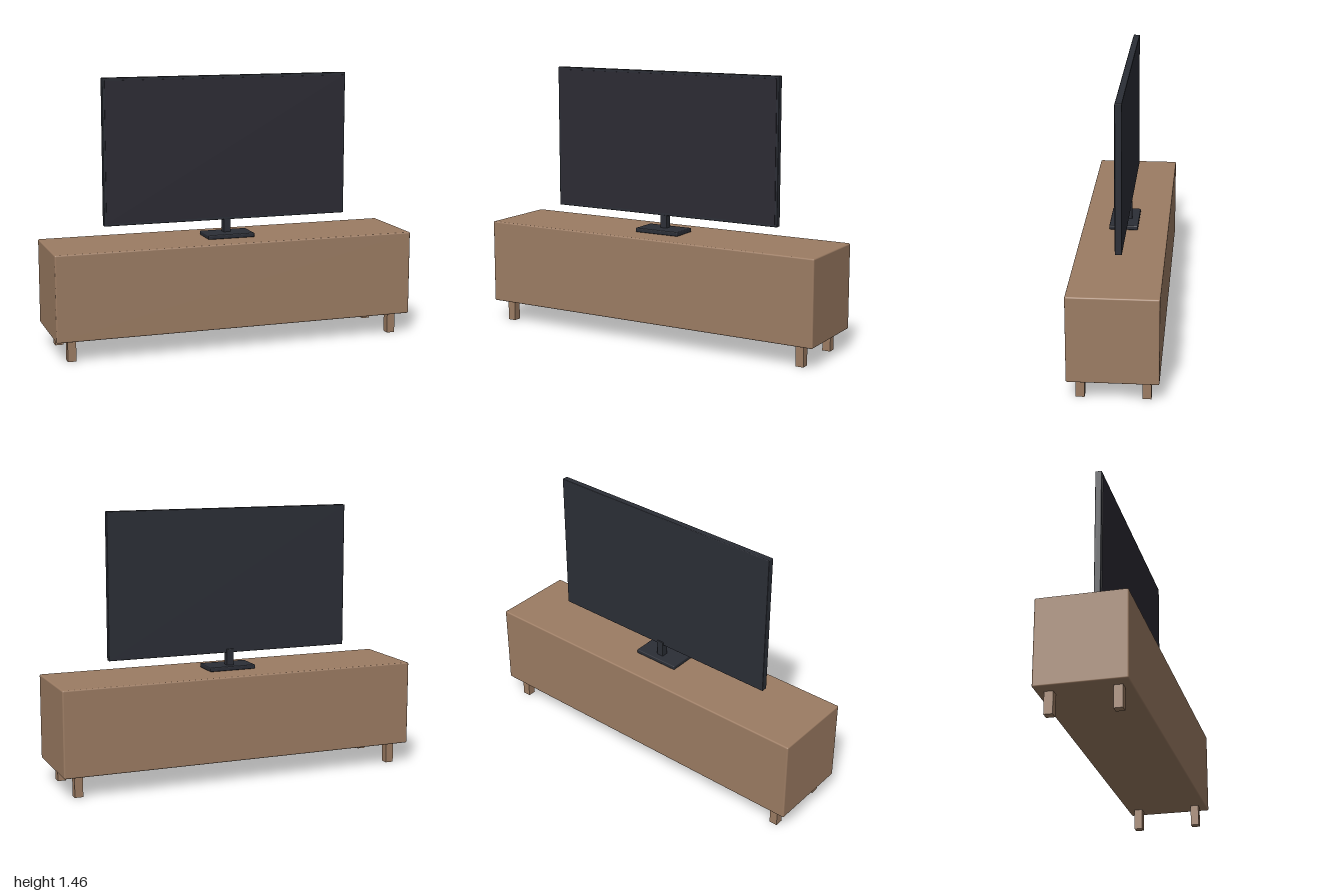
import * as THREE from 'three';
import { RoundedBoxGeometry } from 'three/addons/geometries/RoundedBoxGeometry.js';

const material = (name, color) => {
  const m = new THREE.MeshStandardMaterial({ color });
  m.name = name;
  return m;
};

export function createModel() {
  const group = new THREE.Group();
  group.name = 'televisionOnCabinet';
  const wood = material('wood', 0x9c7c63);
  const casing = material('casing', 0x2b2e36);
  const glass = material('screenGlass', 0x2b2a33);

  // Box given by its lower and upper corners, with softened edges when radius > 0
  const box = (name, mat, [x0, y0, z0], [x1, y1, z1], radius = 0) => {
    const size = [x1 - x0, y1 - y0, z1 - z0];
    const geometry = radius
      ? new RoundedBoxGeometry(...size, 3, radius)
      : new THREE.BoxGeometry(...size);
    const mesh = new THREE.Mesh(geometry, mat);
    mesh.name = name;
    mesh.position.set((x0 + x1) / 2, (y0 + y1) / 2, (z0 + z1) / 2);
    group.add(mesh);
  };

  // Cabinet and its four square legs
  box('cabinet', wood, [-1, 0.115, -0.232], [1, 0.578, 0.232], 0.008);
  for (const sx of [-1, 1]) {
    for (const sz of [-1, 1]) {
      const x = sx * 0.912, z = sz * 0.168, r = 0.0225;
      box('leg', wood, [x - r, 0, z - r], [x + r, 0.118, z + r]);
    }
  }

  // Television stand
  box('standBase', casing, [-0.132, 0.578, -0.068], [0.132, 0.601, 0.087], 0.005);
  box('standNeck', casing, [-0.02, 0.598, -0.03], [0.02, 0.69, 0.01], 0.003);

  // Television body with a thin front screen
  box('televisionBody', casing, [-0.688, 0.67, -0.024], [0.688, 1.457, 0.011], 0.004);
  box('screen', glass, [-0.676, 0.684, 0.009], [0.676, 1.443, 0.0145]);

  return group;
}
